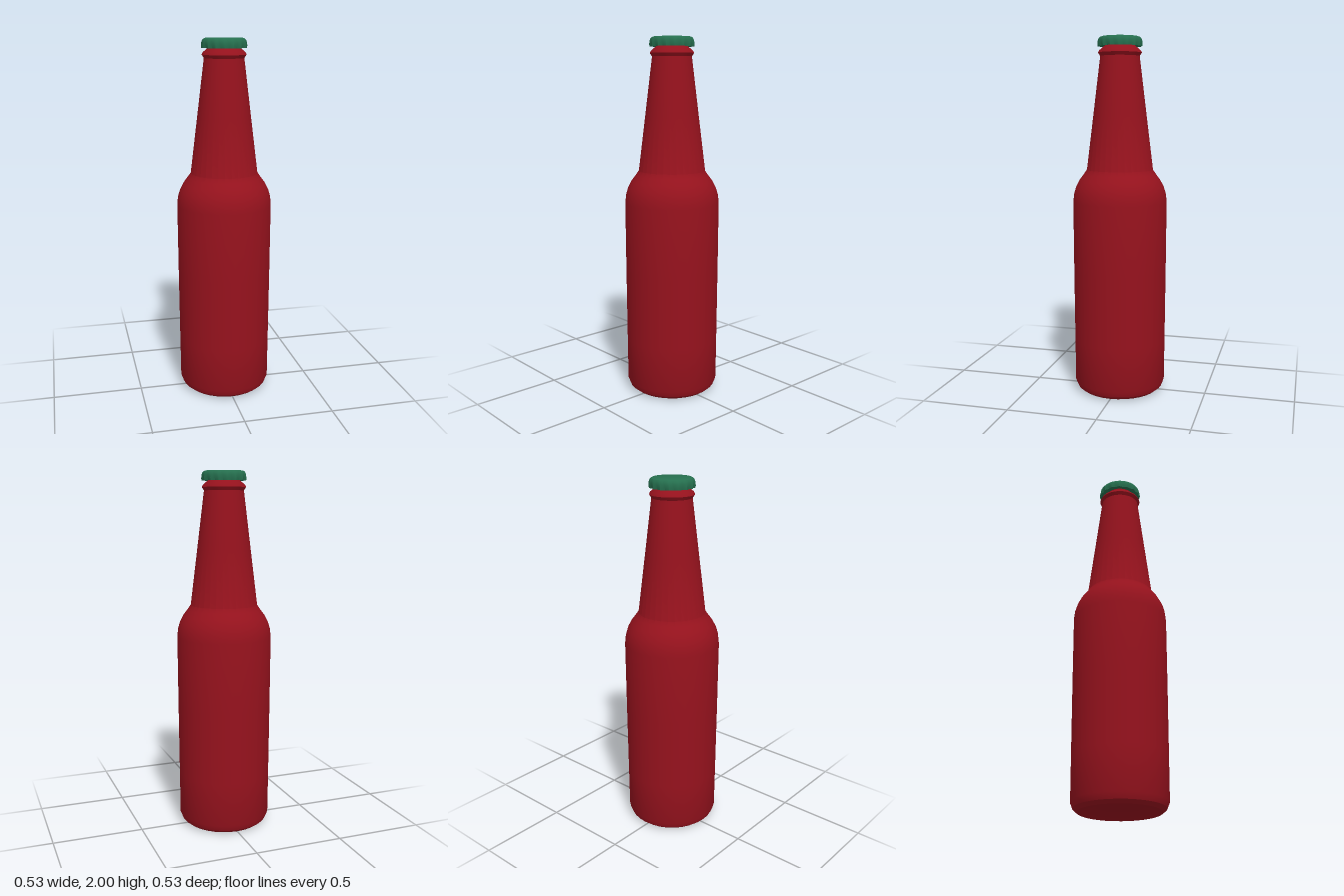
import * as THREE from 'three';
import { toCreasedNormals } from 'three/addons/utils/BufferGeometryUtils.js';

const red = new THREE.MeshStandardMaterial({ color: 0x96121d });
const green = new THREE.MeshStandardMaterial({ color: 0x26704f });

// Profile runs from the underside up to the top, as [radius, height]
function lathe(profile, segments) {
  return new THREE.LatheGeometry(profile.map(([r, y]) => new THREE.Vector2(r, y)), segments);
}

function part(name, geometry, material) {
  const mesh = new THREE.Mesh(toCreasedNormals(geometry, 0.5), material);
  mesh.name = name;
  return mesh;
}

export function createModel() {
  const bottle = new THREE.Group();
  bottle.name = 'bottle';

  // Glass: hollowed base, nearly straight wall, round shoulder, tapered neck and lip
  const glass = [
    [0, 0.045], [0.1, 0.037], [0.17, 0.018], [0.2, 0], [0.222, 0.004],
    [0.244, 0.022], [0.257, 0.055], [0.259, 0.3], [0.262, 0.7], [0.264, 1.09],
    [0.259, 1.135], [0.247, 1.175], [0.227, 1.213], [0.203, 1.245], [0.186, 1.27],
    [0.147, 1.585], [0.109, 1.895], [0.121, 1.913], [0.115, 1.925],
    [0.08, 1.955], [0.078, 1.98], [0, 1.98],
  ];
  bottle.add(part('glassBody', lathe(glass, 32), red));

  // Crown cap whose flutes deepen towards the lower rim
  const flutes = 16;
  const crown = lathe([
    [0.076, 1.962], [0.108, 1.955], [0.119, 1.948], [0.121, 1.96],
    [0.121, 1.976], [0.118, 1.988], [0.112, 1.996], [0.102, 2], [0, 2],
  ], flutes * 4);
  const p = crown.attributes.position;
  for (let i = 0; i < p.count; i++) {
    const x = p.getX(i), y = p.getY(i), z = p.getZ(i);
    const depth = Math.hypot(x, z) > 0.1 ? THREE.MathUtils.clamp((1.995 - y) / 0.045, 0, 1) : 0;
    const k = 1 - 0.035 * depth * Math.cos(flutes * Math.atan2(z, x));
    p.setXYZ(i, x * k, y, z * k);
  }
  crown.computeVertexNormals();
  bottle.add(part('crownCap', crown, green));

  return bottle;
}
